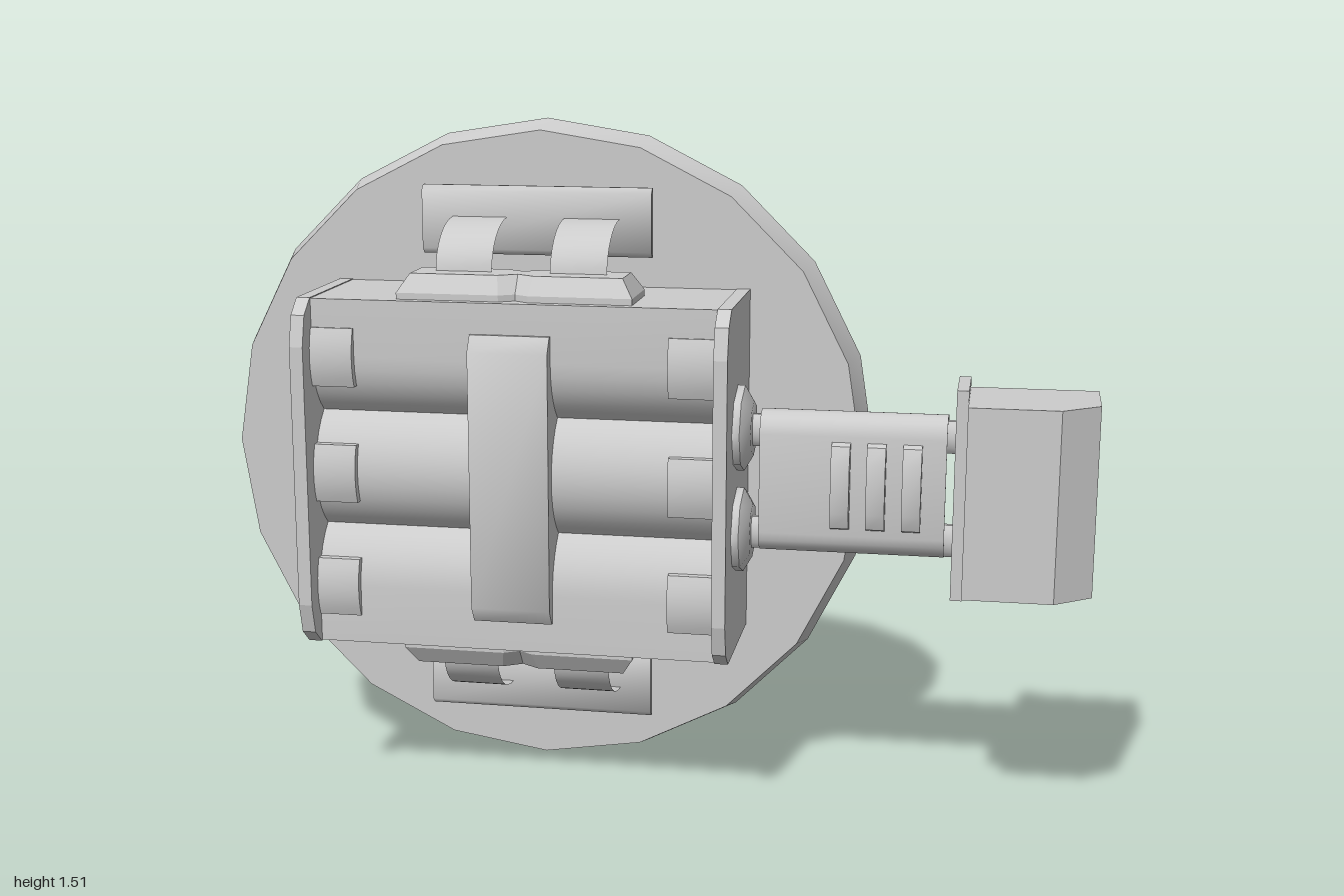
import * as THREE from 'three';
import { toCreasedNormals } from 'three/addons/utils/BufferGeometryUtils.js';

const CX = -0.243, CY = 0.76;
const mat = new THREE.MeshStandardMaterial({ color: 0xcccccc });
const thin = new THREE.MeshStandardMaterial({ color: 0xcccccc, side: THREE.DoubleSide });

function add(parent, name, geo, material = mat, crease = 0.6) {
  const m = new THREE.Mesh(toCreasedNormals(geo, crease), material);
  m.name = name;
  parent.add(m);
  return m;
}
const toShape = (pts) => new THREE.Shape(pts.map(([a, b]) => new THREE.Vector2(a, b)));
const box = (x0, x1, y0, y1, z0, z1) =>
  new THREE.BoxGeometry(x1 - x0, y1 - y0, z1 - z0).translate((x0 + x1) / 2, (y0 + y1) / 2, (z0 + z1) / 2);
// section given as [z, y], swept along x
const extrudeX = (pts, x0, x1) =>
  new THREE.ExtrudeGeometry(toShape(pts.map(([z, y]) => [-z, y])), { depth: x1 - x0, bevelEnabled: false })
    .rotateY(Math.PI / 2).translate(x0, 0, 0);
// outline given as [x, z], swept along y
const extrudeY = (pts, y0, y1) =>
  new THREE.ExtrudeGeometry(toShape(pts.map(([x, z]) => [x, -z])), { depth: y1 - y0, bevelEnabled: false })
    .rotateX(-Math.PI / 2).translate(0, y0, 0);
// points [z, y] on a circular arc, angles measured from +z
function arc(zc, yc, r, a0, a1, n) {
  return Array.from({ length: n + 1 }, (_, i) => {
    const t = a0 + ((a1 - a0) * i) / n;
    return [zc + r * Math.cos(t), yc + r * Math.sin(t)];
  });
}

// shallow dish, open at the back, with the case's thin edge standing up inside it
function backPlate() {
  const g = new THREE.Group();
  g.name = 'backPlate';
  add(g, 'plateRim', new THREE.CylinderGeometry(0.735, 0.757, 0.08, 20, 1, true)
    .rotateX(Math.PI / 2).translate(0, 0, -0.18), thin);
  add(g, 'plateFace', new THREE.CircleGeometry(0.735, 20, Math.PI / 2).translate(0, 0, -0.14), thin);
  add(g, 'caseBackEdge', new THREE.CylinderGeometry(Math.SQRT1_2, Math.SQRT1_2, 0.03, 4, 1, true)
    .rotateY(Math.PI / 4).rotateX(Math.PI / 2).scale(0.95, 0.78, 1).translate(0, 0, -0.155), thin);
  g.position.set(CX, CY, 0);
  return g;
}

function cellCase() {
  const g = new THREE.Group();
  g.name = 'cellCase';
  const cells = [CY - 0.26, CY, CY + 0.26];
  const R = 0.16, zc = 0.157 - R, a = Math.asin(0.13 / R);
  // flat outer edges, rounded cells between them
  const section = [[-0.14, CY - 0.388], [0.157, CY - 0.388],
    ...arc(zc, cells[0], R, 0, a, 5),
    ...arc(zc, cells[1], R, -a, a, 10).slice(1),
    ...arc(zc, cells[2], R, -a, 0, 5).slice(1),
    [0.157, CY + 0.388], [-0.14, CY + 0.388]];
  add(g, 'caseBody', extrudeX(section, -0.7, 0.21));
  // raised end walls with cut corners
  const wall = [[-0.14, 0.37], [0.16, 0.37], [0.2, 0.403], [0.218, 0.47],
    [0.218, 1.05], [0.2, 1.117], [0.16, 1.15], [-0.14, 1.15]];
  for (const x of [-0.72, 0.204]) add(g, 'endWall', extrudeX(wall, x, x + 0.03), mat, 0.2);
  // clips over the ends of each cell
  for (const y of cells) {
    const clip = [[0.08, y - 0.065], ...arc(0.015, y, 0.16, -0.418, 0.418, 6), [0.08, y + 0.065]];
    add(g, 'cellClip', extrudeX(clip, -0.69, -0.595));
    add(g, 'cellClip', extrudeX(clip, 0.1, 0.205));
  }
  add(g, 'centreStrap', extrudeX([[0.08, 0.44], [0.165, 0.44], [0.188, 0.475],
    [0.188, 1.045], [0.165, 1.08], [0.08, 1.08]], -0.333, -0.157));
  return g;
}

// latch built around the case centre, pointing up
function latch(name) {
  const g = new THREE.Group();
  g.name = name;
  const foot = [[-0.235, -0.11], [-0.04, -0.11], [0, -0.085], [0.04, -0.11], [0.235, -0.11],
    [0.235, -0.01], [0.04, -0.01], [0, -0.035], [-0.04, -0.01], [-0.235, -0.01]];
  add(g, 'latchBase', new THREE.ExtrudeGeometry(toShape(foot),
    { depth: 0.03, bevelThickness: 0.04, bevelSize: 0.025, bevelSegments: 1 })
    .rotateX(-Math.PI / 2).translate(0, 0.372, 0), mat, 0.2);
  // floating catch plate with a bevelled face
  add(g, 'catchPlate', extrudeX([[-0.108, 0.46], [-0.1, 0.46], [-0.087, 0.472], [-0.087, 0.602],
    [-0.1, 0.614], [-0.108, 0.614]], -0.262, 0.262), mat, 1);
  // thin curved straps
  for (const x of [-0.128, 0.128]) {
    const strap = new THREE.PlaneGeometry(0.126, 1, 1, 8), p = strap.attributes.position;
    for (let i = 0; i < p.count; i++) {
      const t = (p.getY(i) + 0.5) * Math.PI / 2;
      p.setXYZ(i, p.getX(i) + x, 0.435 + 0.11 * Math.sin(t), -0.09 + 0.15 * Math.cos(t));
    }
    add(g, 'latchStrap', strap, thin);
  }
  g.position.set(CX, CY, 0);
  return g;
}

function pullHandle() {
  const g = new THREE.Group();
  g.name = 'pullHandle';
  const stud = [[0.095, 0], [0.095, 0.02], [0.06, 0.04], [0, 0.04]].map(([r, h]) => new THREE.Vector2(r, h));
  for (const s of [-1, 1]) {
    const y = CY + s * 0.114;
    add(g, 'stud', new THREE.LatheGeometry(stud, 8).rotateZ(-Math.PI / 2).translate(0.23, y, 0.048), mat, 1);
    // short rod ends joining the grip to the stud and to the cap
    for (const x of [0.275, 0.695]) {
      add(g, 'rod', new THREE.CylinderGeometry(0.037, 0.037, 0.06, 10).rotateZ(Math.PI / 2)
        .scale(1, 1, 0.55).translate(x, y, 0.058));
    }
  }
  // grip shell: flat front, rolled top and bottom, open at the back
  const shell = (r) => [...arc(0.048, 0.654, r, -Math.PI, 0, 8), ...arc(0.048, 0.872, r, 0, Math.PI, 8)];
  add(g, 'grip', extrudeX([...shell(0.048), ...shell(0.043).reverse()], 0.288, 0.687), thin);
  for (const x of [0.444, 0.52, 0.596]) {
    add(g, 'gripRib', extrudeX([[0.092, 0.668], [0.112, 0.675], [0.126, 0.71],
      [0.126, 0.82], [0.112, 0.855], [0.092, 0.862]], x, x + 0.04));
  }
  return g;
}

// hollow end cap, open at the back
function endCap() {
  const g = new THREE.Group();
  g.name = 'endCap';
  add(g, 'capFlange', box(0.705, 0.73, 0.535, 0.99, -0.027, 0.138));
  const outer = [[0.73, -0.03], [0.73, 0.2], [0.92, 0.2], [1, 0.135], [1, -0.03]];
  const inner = [[0.997, -0.03], [0.997, 0.133], [0.919, 0.197], [0.733, 0.197], [0.733, -0.03]];
  add(g, 'capWalls', extrudeY([...outer, ...inner], 0.556, 0.967), thin, 0.2);
  for (const y of [0.556, 0.964]) add(g, 'capLid', extrudeY(outer, y, y + 0.003), thin, 0.2);
  return g;
}

export function createModel() {
  const model = new THREE.Group();
  model.name = 'cellPack';
  const lower = latch('lowerLatch');
  lower.rotation.z = Math.PI;
  model.add(backPlate(), cellCase(), latch('upperLatch'), lower, pullHandle(), endCap());
  return model;
}
